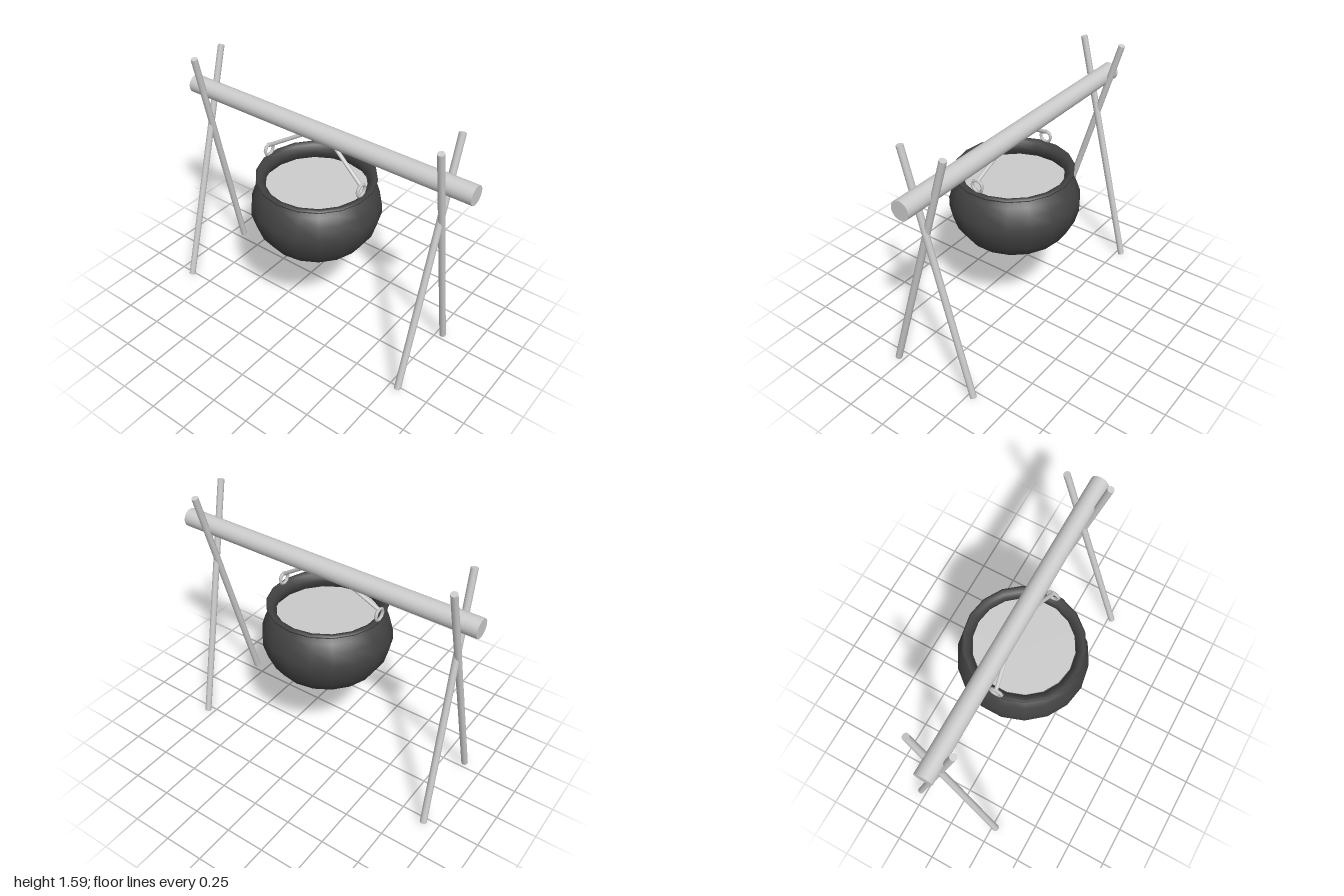
import * as THREE from 'three';

const wood = new THREE.MeshStandardMaterial({ color: 0xcccccc });
wood.name = 'paleGrey';
const iron = new THREE.MeshStandardMaterial({ color: 0x424242 });
iron.name = 'darkIron';

const V = (x, y, z) => new THREE.Vector3(x, y, z);

// Straight round bar between two points
function rod(name, a, b, radius, sides) {
  const dir = b.clone().sub(a);
  const mesh = new THREE.Mesh(new THREE.CylinderGeometry(radius, radius, dir.length(), sides), wood);
  mesh.position.copy(a).add(b).multiplyScalar(0.5);
  mesh.quaternion.setFromUnitVectors(V(0, 1, 0), dir.normalize());
  mesh.name = name;
  return mesh;
}

export function createModel() {
  const model = new THREE.Group();
  model.name = 'cauldronOnStand';

  // Crossbeam
  model.add(rod('crossbeam', V(-1, 1.333, -0.04), V(1, 1.333, -0.04), 0.058, 20));

  // Crossed legs at each end
  for (const [side, x] of [['right', -0.887], ['left', 0.814]]) {
    model.add(rod(side + 'FrontLeg', V(x, 0.02, 0.277), V(x, 1.578, -0.175), 0.021, 10));
    model.add(rod(side + 'BackLeg', V(x - 0.022, 0.007, -0.287), V(x + 0.023, 1.588, 0.085), 0.021, 10));
  }

  // Cauldron, hanging with a slight tilt
  const cauldron = new THREE.Group();
  cauldron.name = 'cauldron';
  cauldron.position.set(-0.008, 0.85, 0);
  cauldron.rotation.set(0.02, 0, -0.02);
  model.add(cauldron);

  const lathe = (name, points, material) => {
    const mesh = new THREE.Mesh(
      new THREE.LatheGeometry(points.map(([r, y]) => new THREE.Vector2(r, y - 0.85)), 18), material);
    mesh.name = name;
    cauldron.add(mesh);
  };
  lathe('bowl', [[0, 0.537], [0.11, 0.549], [0.23, 0.596], [0.315, 0.66], [0.37, 0.74], [0.397, 0.83],
    [0.395, 0.89], [0.37, 0.965], [0.335, 1.005], [0.302, 1.032]], iron);
  lathe('rim', [[0.302, 1.03], [0.335, 1.045], [0.362, 1.062], [0.362, 1.072], [0.348, 1.078],
    [0.325, 1.068], [0.31, 1.045], [0.305, 1.02], [0.318, 0.99], [0.34, 0.95]], iron);

  // Contents of the cauldron
  const contents = new THREE.Mesh(new THREE.CircleGeometry(0.335, 18), wood);
  contents.name = 'contents';
  contents.rotation.x = -Math.PI / 2;
  contents.position.y = 0.12;
  cauldron.add(contents);

  // Handle rings and the bars running up into the crossbeam
  for (const [side, x, y, topX] of [['right', -0.355, 1.118, -0.09], ['left', 0.325, 1.106, 0.08]]) {
    const ring = new THREE.Mesh(new THREE.TorusGeometry(0.037, 0.01, 6, 8), wood);
    ring.name = side + 'HandleRing';
    ring.position.set(x, y, 0.018);
    ring.rotation.y = Math.PI / 2;
    model.add(ring);
    model.add(rod(side + 'HandleBar', V(x, y + 0.03, 0.018), V(topX, 1.312, -0.025), 0.012, 8));
  }
  return model;
}
